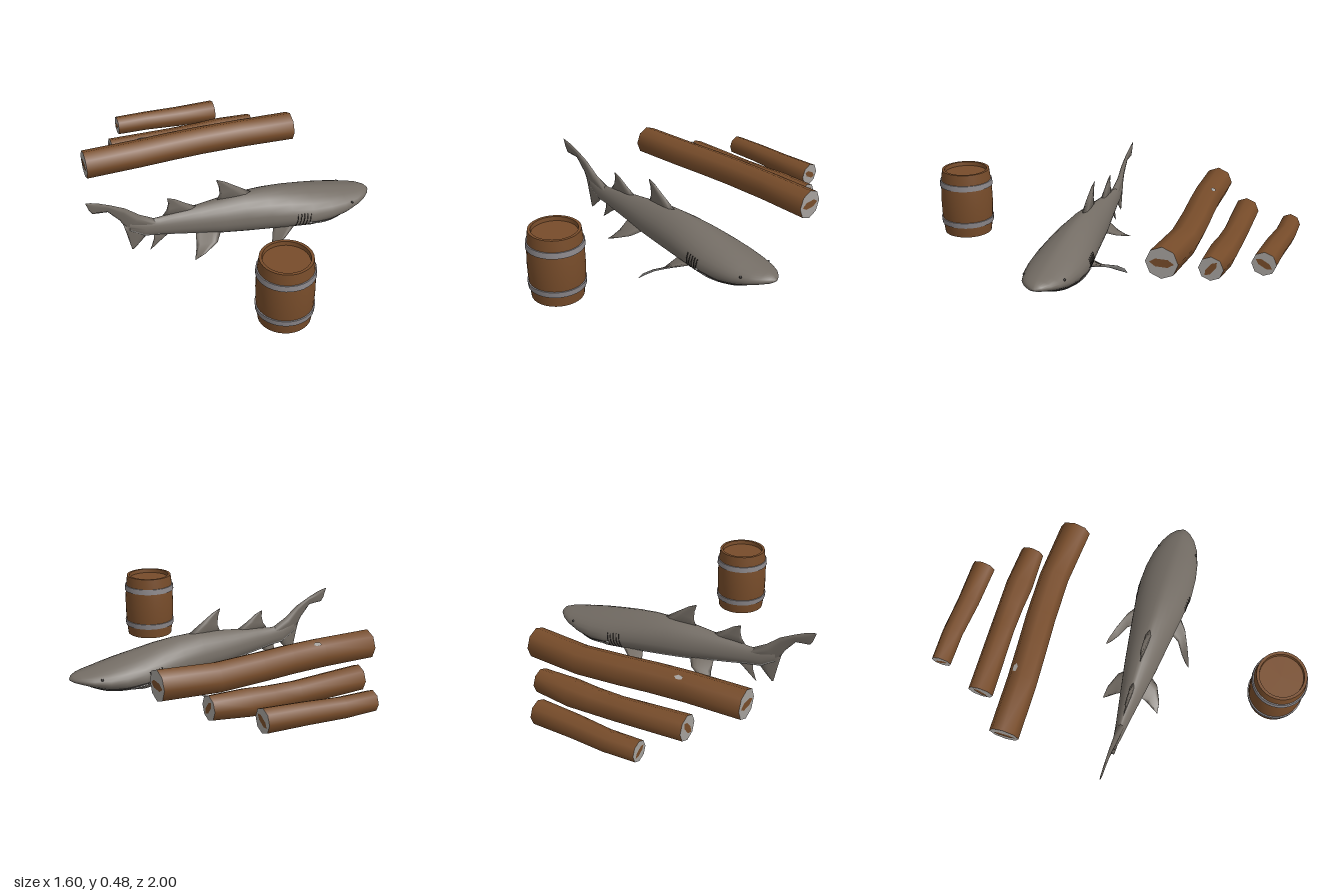
import * as THREE from 'three';
import { toCreasedNormals } from 'three/addons/utils/BufferGeometryUtils.js';

const V = (x, y, z = 0) => new THREE.Vector3(x, y, z);
const paint = (name, color, side = THREE.FrontSide) => {
  const m = new THREE.MeshStandardMaterial({ color, side });
  m.name = name;
  return m;
};

// Skin a list of equal rings; columns picked by isAlt go to the second material
function loft(rings, isAlt = () => false, capped = true) {
  const n = rings[0].length, verts = rings.flat(), main = [], alt = [];
  const centre = verts.reduce((s, v) => s.add(v), V(0, 0)).divideScalar(verts.length);
  for (let i = 0; i < rings.length - 1; i++) for (let j = 0; j < n; j++) {
    const a = i * n + j, b = i * n + (j + 1) % n;
    (isAlt(j) ? alt : main).push(a, b, a + n, b, b + n, a + n);
  }
  if (capped) for (let j = 1; j < n - 1; j++) {
    const e = (rings.length - 1) * n;
    main.push(0, j + 1, j, e, e + j, e + j + 1);
  }
  const index = main.concat(alt);
  // turn faces outward
  let volume = 0;
  for (let k = 0; k < index.length; k += 3) {
    const [p, q, r] = [0, 1, 2].map(o => verts[index[k + o]].clone().sub(centre));
    volume += p.dot(q.cross(r));
  }
  if (volume < 0) for (let k = 0; k < index.length; k += 3) {
    [index[k + 1], index[k + 2]] = [index[k + 2], index[k + 1]];
  }
  const g = new THREE.BufferGeometry().setFromPoints(verts);
  g.setIndex(index);
  g.addGroup(0, main.length, 0);
  if (alt.length) g.addGroup(main.length, alt.length, 1);
  g.computeVertexNormals();
  return g;
}

// Shark body sections: x, top, bottom, half width
const BODY = [
  [0.8, 0.197, 0.185, 0.012], [0.785, 0.212, 0.175, 0.04], [0.75, 0.223, 0.163, 0.075],
  [0.7, 0.232, 0.145, 0.105], [0.62, 0.25, 0.118, 0.132], [0.53, 0.27, 0.1, 0.148],
  [0.42, 0.292, 0.085, 0.153], [0.3, 0.315, 0.092, 0.142], [0.18, 0.33, 0.1, 0.126],
  [0.05, 0.335, 0.11, 0.108], [-0.08, 0.325, 0.125, 0.09], [-0.2, 0.313, 0.147, 0.07],
  [-0.32, 0.302, 0.165, 0.05], [-0.42, 0.288, 0.182, 0.033], [-0.5, 0.29, 0.19, 0.022],
  [-0.58, 0.3, 0.24, 0.01],
];

// Point on the body skin at x, angle t around the section
function skin(x, t) {
  let i = 0;
  while (i < BODY.length - 2 && BODY[i + 1][0] > x) i++;
  const f = (x - BODY[i][0]) / (BODY[i + 1][0] - BODY[i][0]);
  const [top, bottom, w] = [1, 2, 3].map(k => THREE.MathUtils.lerp(BODY[i][k], BODY[i + 1][k], f));
  const mid = bottom + 0.42 * (top - bottom), s = Math.sin(t), c = Math.cos(t);
  const z = w * Math.sign(c) * Math.abs(c) ** (s > 0 ? 1.3 : 0.85);
  return V(x, mid + s * (s > 0 ? top - mid : mid - bottom), z);
}

// Lens-section fin from stations [leading edge, trailing edge, half thickness]
function fin(stations, normal) {
  const K = 6;
  const rings = stations.map(([lead, trail, thick]) => Array.from({ length: 2 * K }, (_, j) => {
    const s = j < K ? j / K : 2 - j / K;
    const h = thick * Math.sin(Math.PI * Math.sqrt(s)) * (j < K ? 1 : -1);
    return lead.clone().lerp(trail, s).addScaledVector(normal, h);
  }));
  return loft(rings, normal.y > 0 ? j => j >= K : undefined);
}

export function createModel() {
  const model = new THREE.Group();
  const wood = paint('wood brown', 0x774c2a);
  const steel = paint('hoop grey', 0x8b878a);
  const cut = paint('cut wood grey', 0xa5a19d);
  const hide = paint('shark grey', 0x736c64);
  const belly = paint('belly pale grey', 0xb3b1ae);
  const dark = paint('dark', 0x2c2826);
  const add = (parent, name, geometry, material) => {
    const mesh = new THREE.Mesh(geometry, material);
    mesh.name = name;
    parent.add(mesh);
    return mesh;
  };
  const group = (name, z = 0) => {
    const g = new THREE.Group();
    g.name = name;
    g.position.z = z;
    model.add(g);
    return g;
  };

  // Barrel with recessed lids and two hoops
  const barrel = group('barrel', 0.847);
  const lathe = pts => toCreasedNormals(
    new THREE.LatheGeometry(pts.map(p => new THREE.Vector2(...p)), 32), 0.5);
  add(barrel, 'staves', lathe([[0, 0.13], [0.116, 0.13], [0.118, 0.108], [0.133, 0.108],
    [0.139, 0.16], [0.144, 0.22], [0.146, 0.293], [0.144, 0.366], [0.139, 0.426],
    [0.133, 0.478], [0.118, 0.478], [0.116, 0.456], [0, 0.456]]), wood);
  for (const [y, low, high] of [[0.167, 0.146, 0.149], [0.387, 0.149, 0.146]]) {
    add(barrel, 'hoop', lathe([[0.136, y], [low, y], [high, y + 0.031], [0.136, y + 0.031]]), steel);
  }

  // Three bent logs: path points [x, y, z, radius], brown core tilt on the cut ends
  const logs = [
    { tilt: 0, path: [[-0.69, 0.322, -0.462, 0.082], [-0.38, 0.324, -0.467, 0.082],
      [-0.18, 0.323, -0.478, 0.082], [0, 0.318, -0.49, 0.082], [0.25, 0.31, -0.497, 0.082],
      [0.56, 0.316, -0.472, 0.084]] },
    { tilt: 0.9, path: [[-0.485, 0.24, -0.678, 0.07], [-0.1, 0.23, -0.69, 0.067],
      [0.05, 0.23, -0.689, 0.07], [0.18, 0.232, -0.685, 0.076], [0.385, 0.24, -0.678, 0.065]] },
    { tilt: -0.5, path: [[-0.38, 0.23, -0.946, 0.055], [-0.2, 0.228, -0.946, 0.057],
      [0, 0.23, -0.926, 0.061], [0.225, 0.233, -0.915, 0.065]] },
  ];
  for (const { tilt, path } of logs) {
    const log = group('log');
    const rings = path.map(([x, y, z, r]) => Array.from({ length: 8 }, (_, j) => {
      const a = j * Math.PI / 4;
      return V(x, y + r * Math.sin(a), z + r * Math.cos(a));
    }));
    add(log, 'bark', loft(rings, undefined, false), wood);
    for (const [end, side] of [[path[0], -1], [path.at(-1), 1]]) {
      const [x, y, z, r] = end;
      const face = add(log, 'cutEnd', new THREE.CircleGeometry(r, 8), cut);
      face.position.set(x, y, z);
      face.rotation.y = side * Math.PI / 2;
      const core = add(face, 'core', new THREE.CircleGeometry(r * 0.75, 6).scale(1, 0.38, 1), wood);
      core.position.z = 0.002;
      core.rotation.z = side * tilt;
    }
  }
  // Worn spot on the largest log
  const spot = add(model, 'wornSpot', new THREE.CircleGeometry(0.025, 5).scale(1, 0.6, 1), cut);
  spot.position.set(-0.34, 0.389, -0.513);
  spot.rotation.x = -Math.PI / 2 - Math.PI / 8;
  spot.position.y += 0.004;

  // Shark body
  const shark = group('shark', 0.105);
  const N = 28, hideAndBelly = [hide, belly];
  const rings = BODY.map(([x]) => Array.from({ length: N }, (_, j) => skin(x, j * 2 * Math.PI / N)));
  add(shark, 'body', loft(rings, j => Math.sin((j + 0.5) * 2 * Math.PI / N) < -0.55), hideAndBelly);

  // Upright fins: [lead x, lead y, trail x, trail y, half thickness]
  const upright = {
    dorsalFin: [[0.12, 0.318, -0.1, 0.31, 0.016], [0.02, 0.385, -0.08, 0.36, 0.012],
      [-0.05, 0.432, -0.085, 0.41, 0.007], [-0.093, 0.452, -0.097, 0.447, 0.002]],
    rearDorsalFin: [[-0.19, 0.3, -0.4, 0.293, 0.012], [-0.27, 0.345, -0.376, 0.325, 0.009],
      [-0.325, 0.383, -0.366, 0.365, 0.005], [-0.366, 0.4, -0.37, 0.395, 0.002]],
    analFin: [[-0.34, 0.19, -0.45, 0.195, 0.01], [-0.4, 0.145, -0.453, 0.15, 0.007],
      [-0.445, 0.108, -0.466, 0.11, 0.004], [-0.473, 0.085, -0.475, 0.085, 0.001]],
    tailUpperLobe: [[-0.43, 0.28, -0.47, 0.2, 0.022], [-0.525, 0.332, -0.59, 0.24, 0.014],
      [-0.6, 0.392, -0.63, 0.32, 0.01], [-0.68, 0.432, -0.69, 0.39, 0.007],
      [-0.74, 0.458, -0.77, 0.397, 0.005], [-0.775, 0.468, -0.785, 0.42, 0.004],
      [-0.8, 0.473, -0.8, 0.465, 0.001]],
    tailLowerLobe: [[-0.47, 0.22, -0.62, 0.31, 0.012], [-0.5, 0.18, -0.602, 0.24, 0.01],
      [-0.54, 0.138, -0.586, 0.165, 0.006], [-0.567, 0.113, -0.575, 0.115, 0.001]],
  };
  for (const [name, rows] of Object.entries(upright)) {
    const stations = rows.map(([a, b, c, d, t]) => [V(a, b), V(c, d), t]);
    add(shark, name, fin(stations, V(0, 0, 1)), hide);
  }

  // Paired fins: [lead xyz, trail xyz, half thickness]
  const paired = {
    PectoralFin: [[0.33, 0.13, 0.1, 0.2, 0.12, 0.085, 0.014], [0.24, 0.108, 0.17, 0.17, 0.075, 0.15, 0.011],
      [0.15, 0.075, 0.212, 0.115, 0.035, 0.19, 0.008], [0.09, 0.035, 0.238, 0.08, 0.012, 0.222, 0.005],
      [0.065, 0, 0.247, 0.065, 0, 0.244, 0.001]],
    PelvicFin: [[-0.09, 0.155, 0.055, -0.23, 0.168, 0.04, 0.01], [-0.13, 0.13, 0.113, -0.242, 0.12, 0.09, 0.008],
      [-0.21, 0.1, 0.15, -0.26, 0.09, 0.13, 0.005], [-0.27, 0.078, 0.158, -0.272, 0.077, 0.155, 0.001]],
  };
  for (const side of [1, -1]) {
    for (const [name, rows] of Object.entries(paired)) {
      const stations = rows.map(([a, b, c, d, e, f, t]) => [V(a, b, c * side), V(d, e, f * side), t]);
      const normal = V(0, 0.75, 0.65 * side).normalize();
      add(shark, (side > 0 ? 'front' : 'back') + name, fin(stations, normal), hideAndBelly);
    }
    const around = t => (side > 0 ? t : Math.PI - t);
    // Gill slits
    for (let i = 0; i < 5; i++) {
      const pts = [-0.55, -0.25, 0.05, 0.3].map((t, k) => skin(0.315 + i * 0.018 + k * 0.004, around(t)));
      add(shark, 'gillSlit', new THREE.TubeGeometry(new THREE.CatmullRomCurve3(pts), 8, 0.003, 5), dark);
    }
    // Eye
    const eye = add(shark, 'eye', new THREE.SphereGeometry(0.007, 12, 8), dark);
    eye.position.copy(skin(0.66, around(0.35)));
  }

  // Mouth: dark slit and pale lip, curving under the snout
  const mouth = (name, front, radius, material) => {
    const pts = Array.from({ length: 17 }, (_, i) => {
      const u = i / 8 - 1;
      return skin(front - 0.3 * Math.abs(u) ** 2, -Math.PI / 2 + u * 1.32);
    });
    add(shark, name, new THREE.TubeGeometry(new THREE.CatmullRomCurve3(pts), 40, radius, 6), material);
  };
  mouth('mouthSlit', 0.705, 0.005, dark);
  mouth('lowerLip', 0.685, 0.007, belly);

  return model;
}
